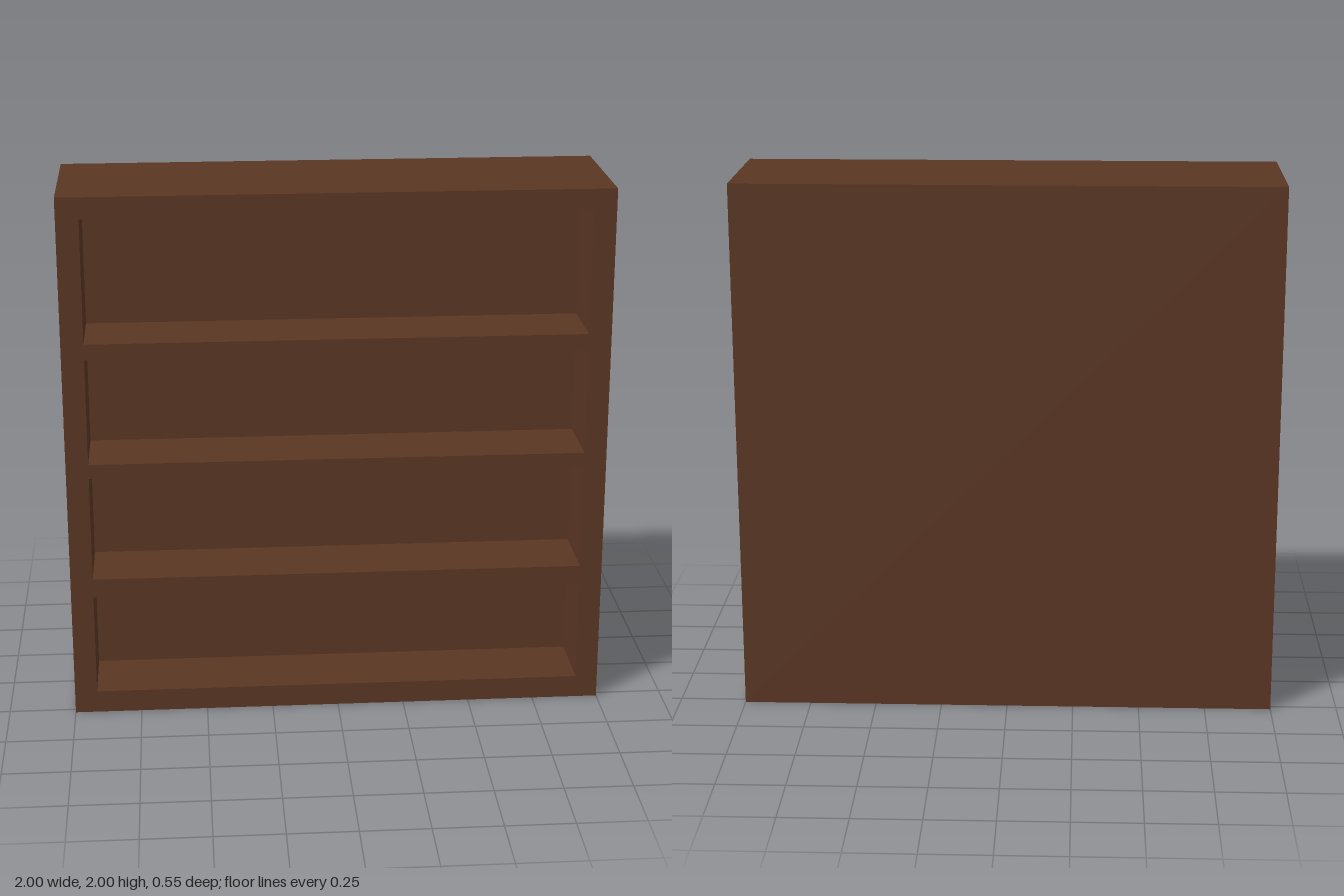
import * as THREE from 'three';

const WIDTH = 2, HEIGHT = 2, DEPTH = 0.55;
const RECESS = 0.27;            // depth of the shelf openings
const OPENING_HALF_WIDTH = 0.917;
// bottom and top of each shelf opening
const OPENINGS = [[0.085, 0.472], [0.545, 0.945], [1.0, 1.4], [1.46, 1.92]];

function tracePath(path, x0, y0, x1, y1) {
  path.moveTo(x0, y0);
  path.lineTo(x1, y0);
  path.lineTo(x1, y1);
  path.lineTo(x0, y1);
  path.closePath();
  return path;
}

export function createModel() {
  const group = new THREE.Group();
  group.name = 'bookcase';
  const wood = new THREE.MeshStandardMaterial({ color: 0x5a3623 });
  wood.name = 'dark brown wood';

  // Front frame and shelves: a slab pierced by the four openings
  const outline = tracePath(new THREE.Shape(), -WIDTH / 2, 0, WIDTH / 2, HEIGHT);
  for (const [bottom, top] of OPENINGS) {
    outline.holes.push(
      tracePath(new THREE.Path(), -OPENING_HALF_WIDTH, bottom, OPENING_HALF_WIDTH, top));
  }
  const frame = new THREE.Mesh(
    new THREE.ExtrudeGeometry(outline, { depth: RECESS, bevelEnabled: false }), wood);
  frame.name = 'shelfFrame';
  frame.position.z = DEPTH / 2 - RECESS;
  group.add(frame);

  // Solid back closing the openings
  const backDepth = DEPTH - RECESS;
  const back = new THREE.Mesh(new THREE.BoxGeometry(WIDTH, HEIGHT, backDepth), wood);
  back.name = 'backPanel';
  back.position.set(0, HEIGHT / 2, -DEPTH / 2 + backDepth / 2);
  group.add(back);

  return group;
}
